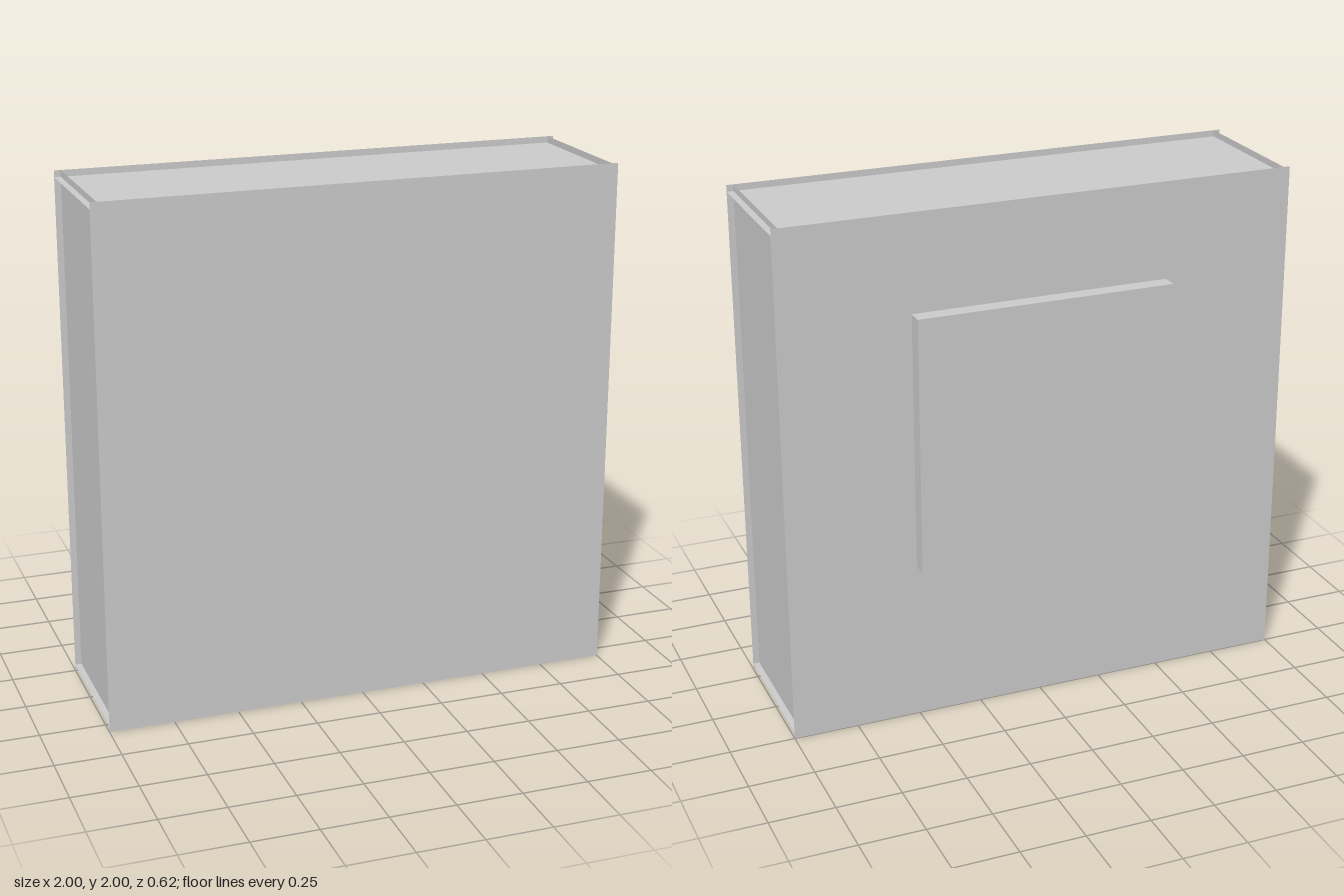
import * as THREE from 'three';

const SIZE = 2;        // width and height of the case
const FRONT = 0.3125;  // z of the front sheet
const BACK = -0.25;    // z of the back sheet
const INSET = 0.025;   // how far the side sheets sit inside the outline

export function createModel() {
  const group = new THREE.Group();
  const sheetMaterial = new THREE.MeshStandardMaterial({ color: 0xcccccc, side: THREE.DoubleSide });
  const solidMaterial = new THREE.MeshStandardMaterial({ color: 0xcccccc });

  // A thin sheet, turned about x and y, then placed
  const addSheet = (name, w, h, position, rx = 0, ry = 0) => {
    const mesh = new THREE.Mesh(new THREE.PlaneGeometry(w, h), sheetMaterial);
    mesh.name = name;
    mesh.rotation.set(rx, ry, 0);
    mesh.position.set(...position);
    group.add(mesh);
  };

  const depth = FRONT - BACK;
  const midZ = (FRONT + BACK) / 2;
  const mid = SIZE / 2;
  const quarter = Math.PI / 2;

  // Full-size front and back sheets
  addSheet('frontPanel', SIZE, SIZE, [0, mid, FRONT]);
  addSheet('backPanel', SIZE, SIZE, [0, mid, BACK], 0, Math.PI);

  // Inset side sheets run the full length and cross at the corners
  addSheet('leftPanel', depth, SIZE, [mid - INSET, mid, midZ], 0, quarter);
  addSheet('rightPanel', depth, SIZE, [INSET - mid, mid, midZ], 0, -quarter);
  addSheet('topPanel', SIZE, depth, [0, SIZE - INSET, midZ], -quarter);
  addSheet('bottomPanel', SIZE, depth, [0, INSET, midZ], quarter);

  // Raised square plate on the back
  const plate = new THREE.Mesh(new THREE.BoxGeometry(1, 1, 0.0625), solidMaterial);
  plate.name = 'backPlate';
  plate.position.set(0, 1.125, BACK - 0.0625 / 2);
  group.add(plate);

  return group;
}
